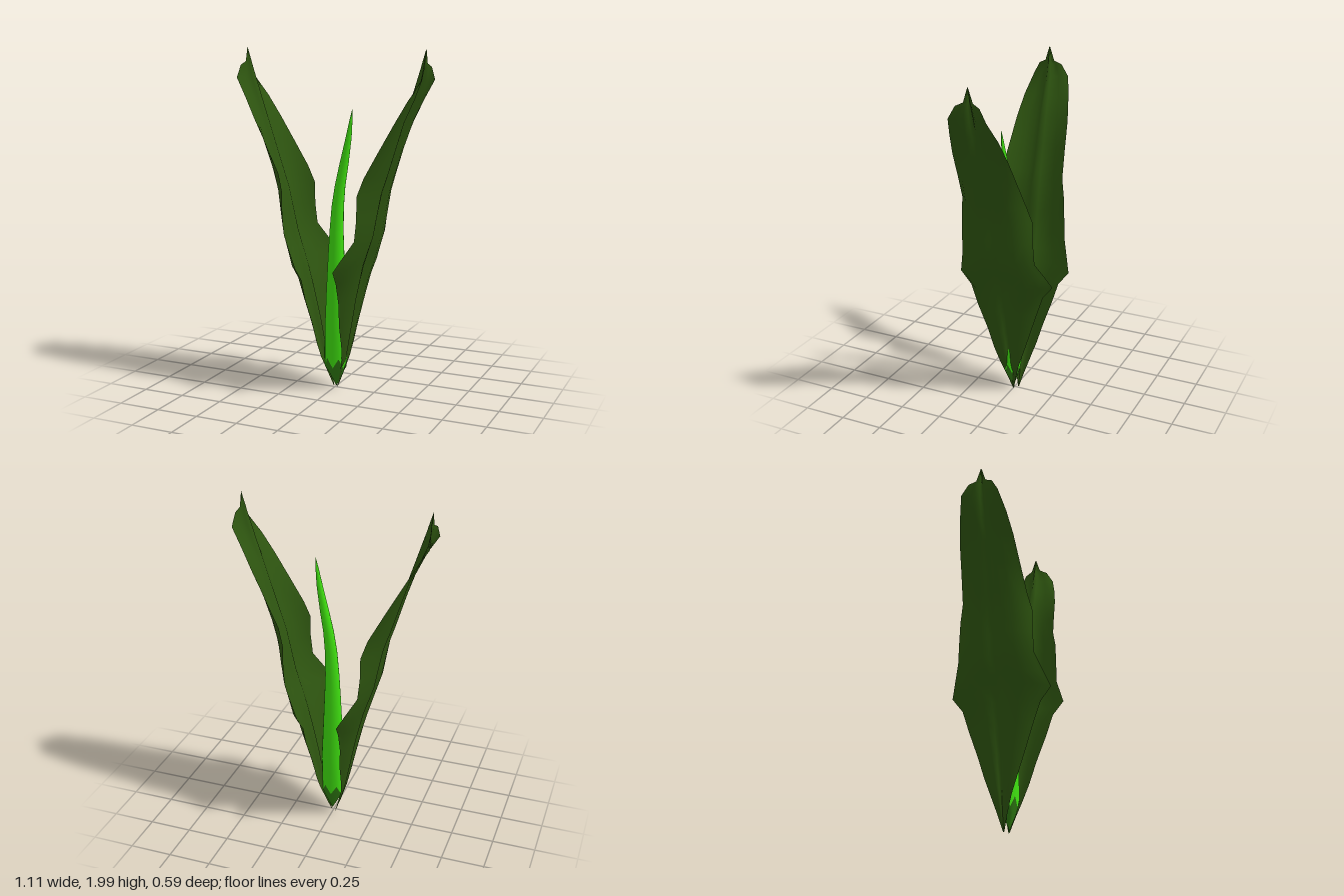
import * as THREE from 'three';

// Skin a list of equal-length rows of [x, y, z] points
function skin(rows, closed) {
  const n = rows[0].length, index = [];
  for (let j = 0; j < rows.length - 1; j++) {
    for (let i = 0; i < (closed ? n : n - 1); i++) {
      const k = (i + 1) % n, a = j * n, b = a + n;
      index.push(a + i, a + k, b + i, a + k, b + k, b + i);
    }
  }
  const g = new THREE.BufferGeometry();
  g.setAttribute('position', new THREE.Float32BufferAttribute(rows.flat(2), 3));
  g.setIndex(index);
  g.computeVertexNormals();
  return g;
}

function part(name, geometry, color, side = THREE.FrontSide) {
  const mesh = new THREE.Mesh(geometry, new THREE.MeshStandardMaterial({ color, side }));
  mesh.name = name;
  return mesh;
}

// Leaf rows: height, x of the outer bulge, x of the midrib, x of the rim, half width
const LEAF = [
  [0.01, 0.015, 0.015, 0.015, 0.003],
  [0.10, 0.048, 0.040, 0.042, 0.028],
  [0.20, 0.078, 0.060, 0.070, 0.060],
  [0.30, 0.100, 0.074, 0.082, 0.096],
  [0.42, 0.125, 0.096, 0.086, 0.135],
  [0.58, 0.158, 0.132, 0.105, 0.190],
  [0.70, 0.188, 0.162, 0.107, 0.230],
  [0.78, 0.210, 0.184, 0.115, 0.292],
  [0.85, 0.232, 0.206, 0.155, 0.265],
  [0.95, 0.264, 0.236, 0.215, 0.225],
  [1.07, 0.286, 0.262, 0.226, 0.220],
  [1.20, 0.312, 0.290, 0.226, 0.218],
  [1.30, 0.345, 0.322, 0.258, 0.195],
  [1.45, 0.390, 0.370, 0.338, 0.178],
  [1.60, 0.436, 0.418, 0.420, 0.162],
  [1.72, 0.490, 0.456, 0.486, 0.140],
  [1.83, 0.530, 0.490, 0.556, 0.110],
  [1.90, 0.540, 0.512, 0.550, 0.070],
  [1.92, 0.535, 0.517, 0.540, 0.028],
  [2.00, 0.541, 0.541, 0.541, 0.002],
];

// Folds across a leaf: position, then weights of midrib, bulge and rim
const FOLDS = [[0, 1, 0, 0], [0.12, 0.5, 0.5, 0], [0.3, 0, 1, 0], [0.55, 0, 0.87, 0.13],
  [0.78, 0, 0.55, 0.45], [0.92, 0, 0.2, 0.8], [1, 0, 0, 1]];

function leaf(side, z0, z1) {
  const across = [...FOLDS.slice(1).reverse().map(([u, ...w]) => [-u, ...w]), ...FOLDS];
  return skin(LEAF.map(([y, bulge, rib, rim, half]) => across.map(([u, a, b, c]) => [
    side * (a * rib + b * bulge + c * rim), y, z0 + (z1 - z0) * y / 2 + u * half,
  ])), false);
}

// Stem rings: height, centre x, centre z, x radius, z radius
const STEM = [
  [0.20, 0.008, 0.008, 0.074, 0.049],
  [0.40, 0.010, 0.008, 0.070, 0.046],
  [0.60, 0.010, 0.008, 0.061, 0.042],
  [0.80, 0.011, 0.008, 0.051, 0.037],
  [0.95, 0.013, 0.008, 0.043, 0.034],
  [1.10, 0.021, 0.009, 0.037, 0.030],
  [1.22, 0.036, 0.011, 0.032, 0.026],
  [1.35, 0.062, 0.014, 0.027, 0.022],
  [1.50, 0.092, 0.019, 0.018, 0.014],
  [1.60, 0.108, 0.023, 0.009, 0.007],
  [1.66, 0.117, 0.025, 0.001, 0.001],
];
const SIDES = 12;

function ring([y, cx, cz, rx, rz], zigzag = 0) {
  return Array.from({ length: SIDES }, (_, i) => {
    const a = i / SIDES * Math.PI * 2, drop = i % 2 ? 0 : zigzag, s = 1 - drop * 1.5;
    return [cx + rx * s * Math.sin(a), y - drop, cz + rz * s * Math.cos(a)];
  });
}

export function createModel() {
  const model = new THREE.Group();
  model.name = 'plant';

  // Two folded leaves, one leaning slightly in z
  model.add(part('leftLeaf', leaf(1, 0, 0.004), 0x2e5510, THREE.DoubleSide));
  model.add(part('rightLeaf', leaf(-1, -0.02, 0.028), 0x2e5510, THREE.DoubleSide));

  // Bent shoot, starting from a zigzag rim
  const rim = ring(STEM[0], 0.06);
  model.add(part('shoot', skin([rim, ...STEM.slice(1).map(r => ring(r))], true), 0x3fe010));

  // Darker pointed base sharing the zigzag rim
  const tip = ring([0.02, 0.01, 0.002, 0.001, 0.001]);
  const waist = ring([0.11, 0.009, 0.006, 0.048, 0.032]);
  model.add(part('shootBase', skin([tip, waist, rim], true), 0x2f7a12));

  return model;
}
